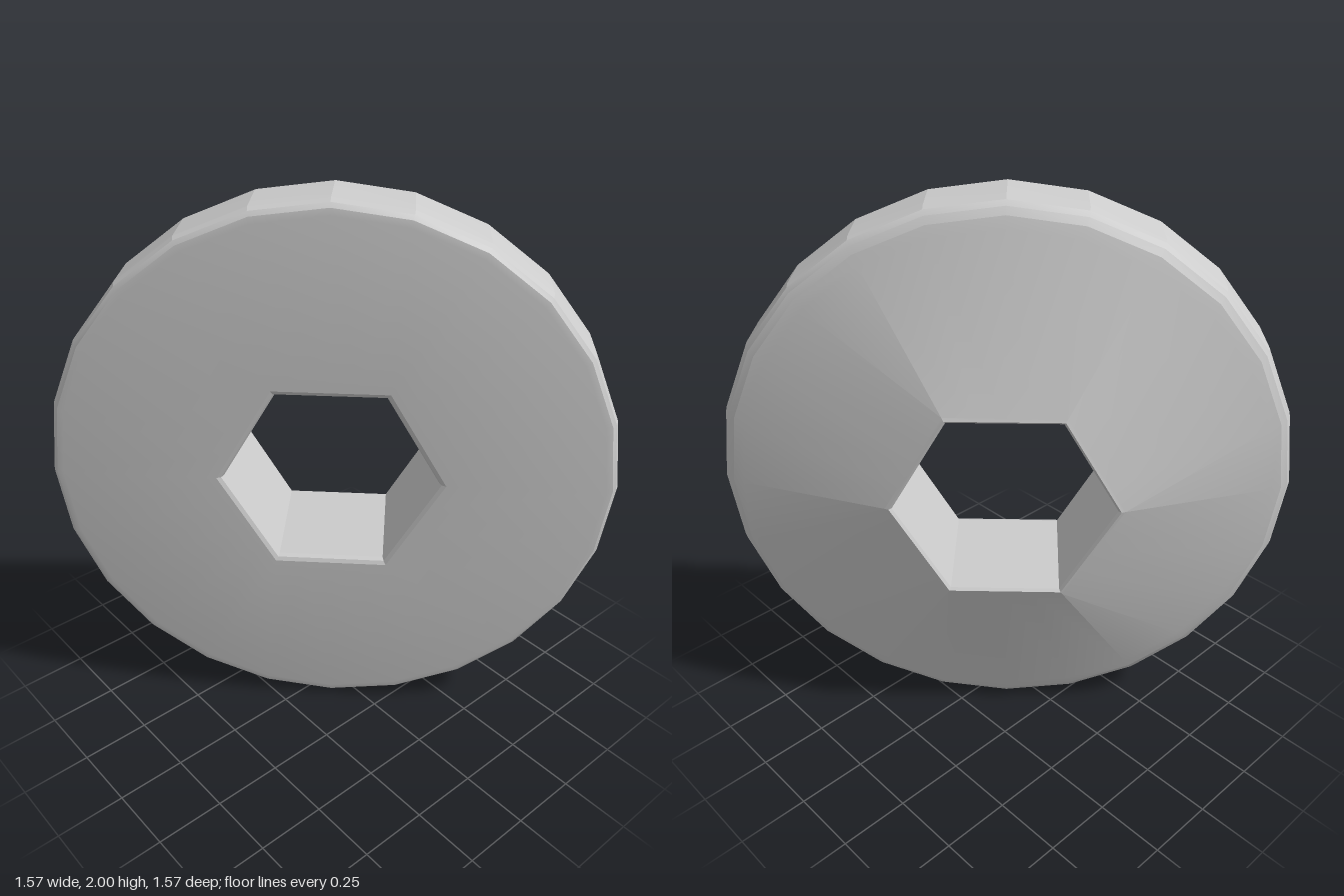
import * as THREE from 'three';
import { toCreasedNormals } from 'three/addons/utils/BufferGeometryUtils.js';

const SIDES = 24;

// Radius of a ring at an angle: round, or a hexagon with corners every 60 degrees
function ringRadius(radius, hex, angle) {
  if (!hex) return radius;
  const sector = Math.PI / 3;
  const fromMiddle = (angle % sector) - sector / 2;
  return radius * Math.cos(sector / 2) / Math.cos(fromMiddle);
}

// Skins a closed loop of rings around the z axis
function loftRings(rings) {
  const positions = [];
  const index = [];
  for (const [radius, z, hex] of rings) {
    for (let j = 0; j < SIDES; j++) {
      const angle = (j / SIDES) * Math.PI * 2;
      const r = ringRadius(radius, hex, angle);
      positions.push(r * Math.cos(angle), r * Math.sin(angle), z);
    }
  }
  for (let i = 0; i < rings.length; i++) {
    const next = (i + 1) % rings.length;
    for (let j = 0; j < SIDES; j++) {
      const k = (j + 1) % SIDES;
      const a = i * SIDES + j, b = next * SIDES + j;
      const c = next * SIDES + k, d = i * SIDES + k;
      index.push(a, b, c, a, c, d);
    }
  }
  const geometry = new THREE.BufferGeometry();
  geometry.setAttribute('position', new THREE.Float32BufferAttribute(positions, 3));
  geometry.setIndex(index);
  return toCreasedNormals(geometry, 0.24);
}

export function createModel() {
  const group = new THREE.Group();
  group.name = 'wheelDisc';

  // Each ring: radius, position along the axle, hexagonal or round
  const rings = [
    // flat face, from the hole to the rim
    [0.405, 0.127, true],
    [0.955, 0.127, false],
    [0.978, 0.122, false],
    [0.992, 0.108, false],
    // rim
    [1.0, 0.085, false],
    [1.0, -0.088, false],
    // rounded back shoulder
    [0.995, -0.115, false],
    [0.982, -0.140, false],
    [0.958, -0.157, false],
    [0.92, -0.170, false],
    // cone rising to the hexagonal hub
    [0.405, -0.326, true],
    [0.392, -0.331, true],
    [0.382, -0.322, true],
    // hole wall
    [0.381, 0.105, true],
    [0.389, 0.120, true],
  ];

  const disc = new THREE.Mesh(
    loftRings(rings),
    new THREE.MeshStandardMaterial({ color: 0xcccccc })
  );
  disc.name = 'discWithHexHole';
  disc.rotation.y = Math.PI / 4;
  disc.position.y = 1;
  group.add(disc);
  return group;
}
